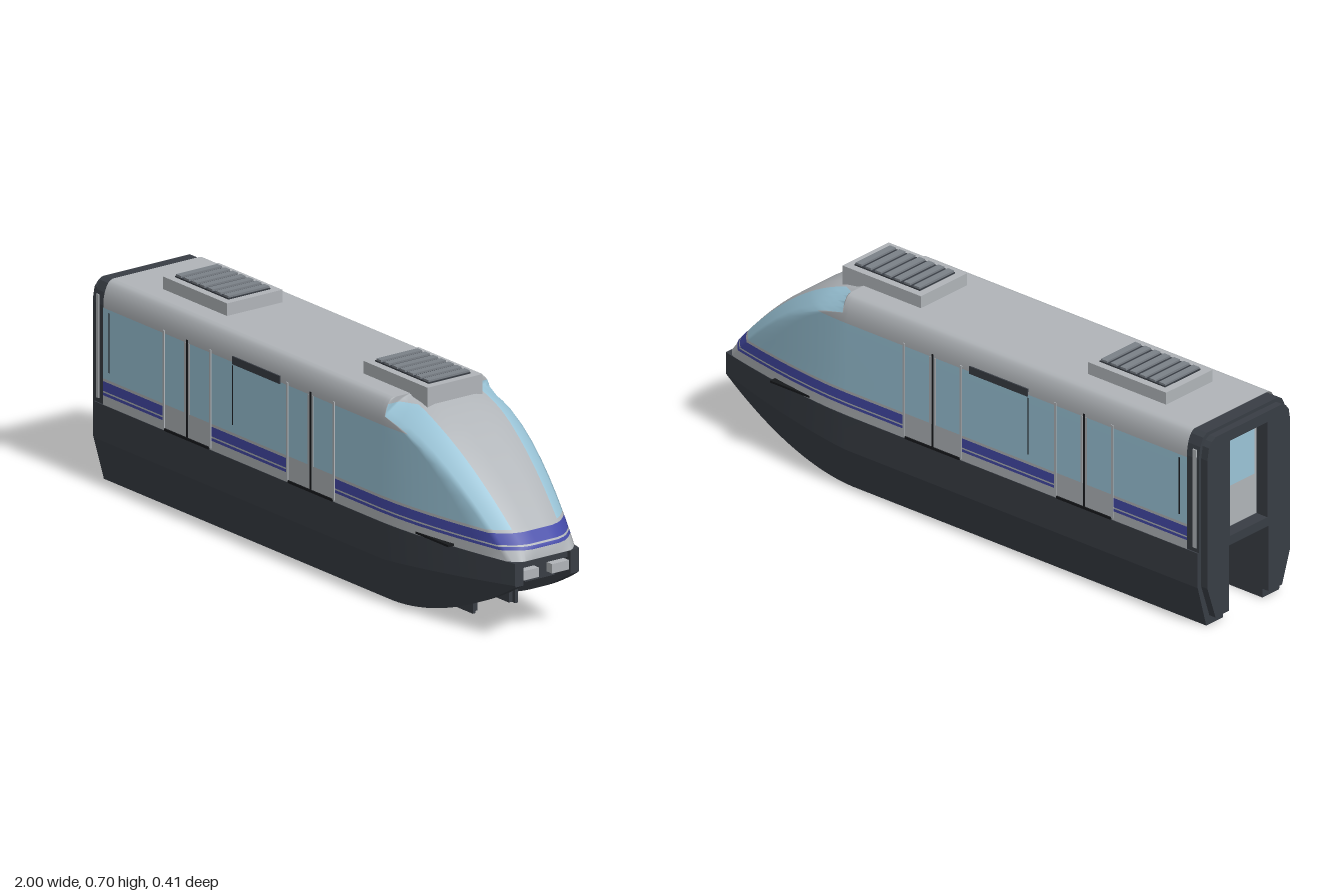
import * as THREE from 'three';

const mat = (name, color, double) => {
  const m = new THREE.MeshStandardMaterial({ color });
  m.name = name;
  if (double) m.side = THREE.DoubleSide;
  return m;
};

// Plan taper of the nose, and how far forward the nose ridge reaches at height y
const noseT = (x) => Math.max(0, (x - 0.45) / 0.55);
const taper = (x) => 1 - 0.4 * noseT(x) ** 1.6;
const ridgeX = (y) => 0.46 + 0.54 * (1 - THREE.MathUtils.clamp((y - 0.28) / 0.37, 0, 1)) ** 0.6;

// Half width of the body at height y, with a rounded shoulder
const halfWidth = (y) => (y < 0.57 ? 0.202 : 0.165 + 0.037 * Math.sqrt(Math.max(0, 1 - ((y - 0.57) / 0.08) ** 2)));

// Half outline of the body at height y, from the rear to the nose tip
function outline(y) {
  const pts = [];
  const w = halfWidth(y);
  const side = (x) => pts.push([x, y, w * taper(x)]);
  [-0.93, -0.63, -0.4, -0.02, 0.21, 0.44].forEach(side);
  const front = (q) => ridgeX(y + 0.06 * Math.max(0, (q - 0.4) / 0.6) ** 2);
  for (let i = 1; i <= 6; i++) side(THREE.MathUtils.lerp(0.44, front(1), i / 6));
  for (let i = 1; i <= 8; i++) {
    const q = i <= 5 ? 1 - (0.37 * i) / 5 : (0.63 * (8 - i)) / 3;
    pts.push([front(q), y, q * w * taper(front(q))]);
  }
  return pts;
}

function geometryFrom(points, lists) {
  const g = new THREE.BufferGeometry();
  g.setAttribute('position', new THREE.Float32BufferAttribute(points.flat(), 3));
  g.setIndex(lists.flat());
  let start = 0;
  lists.forEach((l, i) => {
    g.addGroup(start, l.length, i);
    start += l.length;
  });
  g.computeVertexNormals();
  return g;
}

// Body shell in horizontal rows; each face takes the colour of its band
function shellGeometry() {
  const rows = [0.255, 0.286, 0.295, 0.3, 0.331, 0.34, 0.38, 0.42, 0.46, 0.5, 0.535, 0.565,
    0.58, 0.595, 0.608, 0.62, 0.632, 0.641, 0.647, 0.65];
  const points = [];
  const lists = [[], [], []]; // body, glass, stripe
  let n = 0;
  for (const y of rows) {
    const half = outline(y);
    const full = [...half, ...half.slice(0, -1).reverse().map(([x, h, z]) => [x, h, -z])];
    n = full.length;
    points.push(...full);
  }
  for (let j = 0; j < rows.length - 1; j++) {
    const y = (rows[j] + rows[j + 1]) / 2;
    for (let i = 0; i < n - 1; i++) {
      const k = Math.min(i, n - 2 - i);
      const door = k === 1 || k === 3;
      const stripe = !door && ((y > 0.286 && y < 0.295) || (y > 0.3 && y < 0.331));
      const glass = (y > 0.34 && y < 0.565 && k < 16) || (y > 0.565 && y < 0.632 && k > 10 && k < 16);
      const a = j * n + i;
      lists[stripe ? 2 : glass ? 1 : 0].push(a, a + 1, a + n + 1, a, a + n + 1, a + n);
    }
  }
  // Flat roof between the two top edges
  const top = points.slice(-n);
  const base = points.length;
  points.push(...top);
  for (let i = 0; i < (n - 1) / 2; i++) {
    const a = base + i, b = a + 1, d = base + n - 1 - i, c = d - 1;
    lists[0].push(a, b, c, a, c, d);
  }
  return geometryFrom(points, lists);
}

// One side skirt, lofted along x with creases along its length
function skirtGeometry() {
  const xs = [-0.975, 0.2, 0.45];
  for (let i = 1; i <= 18; i++) xs.push(0.45 + (0.55 * i) / 18);
  const sections = xs.map((x) => {
    const t = noseT(x), w = 0.204 * taper(x), b = 0.18 * t ** 1.9;
    const low = 0.165 - 0.046 * t ** 1.4, knee = 0.14 + 0.045 * t;
    return [[0.09, 0.256], [w, 0.256], [w, knee], [low, b], [0.09, b]].map(([z, y]) => [x, y, z]);
  });
  const points = [], index = [];
  for (let p = 0; p < 5; p++) {
    const base = points.length;
    sections.forEach((s) => points.push(s[p], s[(p + 1) % 5]));
    for (let s = 0; s < xs.length - 1; s++) {
      const a = base + s * 2;
      index.push(a, a + 1, a + 3, a, a + 3, a + 2);
    }
  }
  [sections[0], sections[xs.length - 1]].forEach((s, end) => {
    const a = points.length;
    points.push(...s);
    for (let i = 1; i < 4; i++) index.push(a, a + (end ? i : i + 1), a + (end ? i + 1 : i));
  });
  return geometryFrom(points, [index]);
}

// Rear frame with a doorway and a slot for the track beam
function frameGeometry(inset, bottom, depth) {
  const w = 0.202 - inset, h = 0.65 - inset;
  const s = new THREE.Shape();
  const right = [[0.09, 0.25], [0.09, bottom], [0.165 - inset, bottom], [w, 0.14], [w, 0.57],
    [w - 0.007, 0.61], [w - 0.02, h - 0.01], [w - 0.037, h]];
  right.forEach(([x, y], i) => (i ? s.lineTo(x, y) : s.moveTo(x, y)));
  [...right].reverse().forEach(([x, y]) => s.lineTo(-x, y));
  const hole = new THREE.Path();
  hole.moveTo(-0.085, 0.28).lineTo(-0.085, 0.6).lineTo(0.085, 0.6).lineTo(0.085, 0.28).closePath();
  s.holes.push(hole);
  return new THREE.ExtrudeGeometry(s, { depth, bevelEnabled: false }).rotateY(Math.PI / 2);
}

export function createModel() {
  const group = new THREE.Group();
  const body = mat('bodyGrey', 0xb0b4b8, true);
  const glass = mat('glassBlue', 0x9ac4d7, true);
  const stripe = mat('stripeBlue', 0x444aa8, true);
  const dark = mat('skirtCharcoal', 0x383d44);
  const black = mat('seamBlack', 0x17191c);
  const vent = mat('ventGrey', 0x7b8188);

  const add = (name, geometry, material) => {
    const m = new THREE.Mesh(geometry, material);
    m.name = name;
    group.add(m);
    return m;
  };
  // Box given by its limits on each axis
  const box = (name, material, x0, x1, y0, y1, z0, z1) =>
    add(name, new THREE.BoxGeometry(x1 - x0, y1 - y0, z1 - z0), material)
      .position.set((x0 + x1) / 2, (y0 + y1) / 2, (z0 + z1) / 2);
  const pair = (name, material, x0, x1, y0, y1, z0, z1) => {
    box(name, material, x0, x1, y0, y1, z0, z1);
    box(name, material, x0, x1, y0, y1, -z1, -z0);
  };

  add('bodyShell', shellGeometry(), [body, glass, stripe]);
  const skirt = skirtGeometry();
  add('skirtLeft', skirt, dark);
  add('skirtRight', skirt, dark).scale.z = -1;
  box('underfloor', dark, -0.97, 0.985, 0.23, 0.258, -0.092, 0.092);

  // Rear gangway
  add('rearCollar', frameGeometry(0.003, 0.02, 0.05), dark).position.x = -0.975;
  add('rearFrame', frameGeometry(0.014, 0.03, 0.03), dark).position.x = -1;
  pair('rearTrim', body, -0.966, -0.953, 0.27, 0.6, 0.198, 0.202);
  box('rearDoor', body, -0.955, -0.945, 0.28, 0.6, -0.085, 0.085);
  box('rearDoorGlass', glass, -0.961, -0.955, 0.42, 0.59, -0.07, 0.07);

  // Side doors
  for (const x of [-0.515, 0.095]) {
    pair('doorSeam', black, x - 0.003, x + 0.003, 0.262, 0.575, 0.2, 0.204);
    for (const e of [-0.115, 0.115])
      pair('doorEdge', body, x + e - 0.004, x + e + 0.004, 0.262, 0.575, 0.2, 0.205);
    for (const e of [-0.009, 0.009])
      pair('doorStile', body, x + e - 0.004, x + e + 0.004, 0.34, 0.565, 0.2, 0.2035);
    pair('doorStep', black, x - 0.11, x + 0.11, 0.256, 0.264, 0.198, 0.206);
  }
  for (const x of [-0.9, -0.29]) pair('windowSeam', black, x - 0.002, x + 0.002, 0.365, 0.555, 0.2, 0.204);
  pair('displayPanel', dark, -0.29, -0.055, 0.56, 0.585, 0.197, 0.206);
  pair('noseStep', black, 0.6, 0.76, 0.258, 0.265, 0.16, 0.192);

  // Roof units with slatted grilles
  for (const x of [-0.602, 0.387]) {
    box('roofUnit', body, x - 0.158, x + 0.158, 0.62, 0.69, -0.105, 0.105);
    box('roofGrille', dark, x - 0.132, x + 0.132, 0.69, 0.694, -0.08, 0.08);
    for (let i = 0; i < 7; i++) {
      const sx = x - 0.117 + i * 0.039;
      box('roofSlat', vent, sx - 0.012, sx + 0.012, 0.694, 0.7, -0.078, 0.078);
    }
  }

  // Nose lights and coupler
  pair('headlight', body, 0.955, 0.992, 0.192, 0.222, 0.025, 0.089);
  box('coupler', dark, 0.9, 0.965, 0.175, 0.232, -0.057, 0.057);

  // Bogies: side plates, guide wheel blocks and load wheel
  for (const x of [-0.4, 0.588]) {
    pair('bogiePlate', dark, x - 0.157, x + 0.157, 0.02, 0.24, 0.075, 0.086);
    for (const e of [-0.11, 0.11]) {
      pair('guideWheelLow', dark, x + e - 0.035, x + e + 0.035, 0.022, 0.055, 0.06, 0.076);
      pair('guideWheelHigh', dark, x + e - 0.035, x + e + 0.035, 0.08, 0.12, 0.06, 0.076);
    }
    const wheel = add('loadWheel', new THREE.CylinderGeometry(0.075, 0.075, 0.09, 24), dark);
    wheel.rotation.x = Math.PI / 2;
    wheel.position.set(x, 0.207, 0);
  }
  return group;
}
